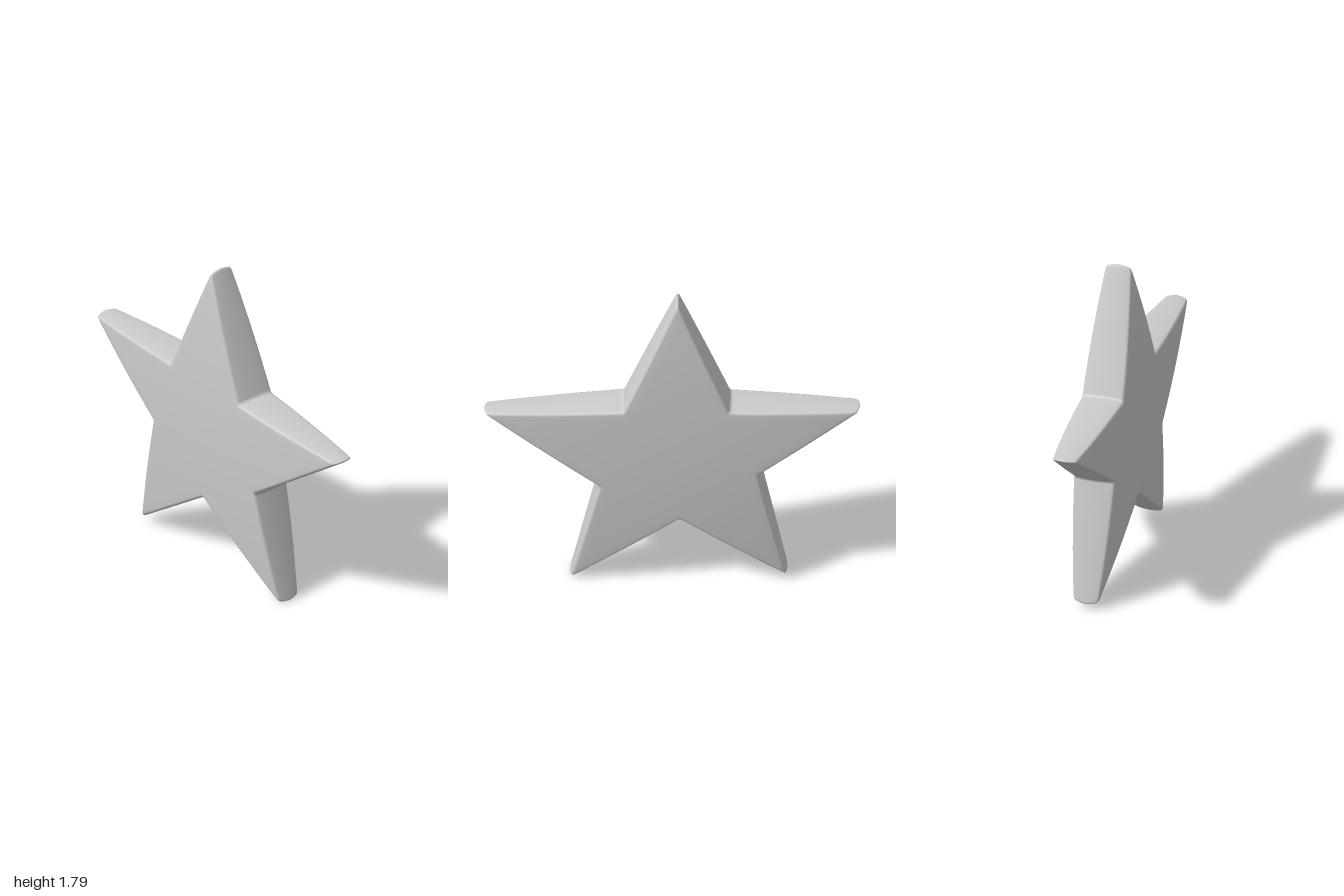
import * as THREE from 'three';
import { mergeVertices } from 'three/addons/utils/BufferGeometryUtils.js';

// Star corners, counter-clockwise from the front, alternating tip and notch
const CORNERS = [
  [-0.03, 1.795], [-0.312, 1.118], [-1.013, 1.096], [-0.465, 0.7], [-0.619, 0.015],
  [-0.042, 0.408], [0.546, -0.014], [0.391, 0.618], [1.013, 1.057], [0.26, 1.115],
].map(([x, y]) => new THREE.Vector2(x, y));
const CENTRE = new THREE.Vector2(-0.03, 0.81);
const ARC_STEPS = 6, EDGE_STEPS = 8;

// Half thickness swells from the tips to the centre
const halfDepth = (p) => 0.127 - 0.061 * p.distanceToSquared(CENTRE);

// Outline moved inwards by d, with every corner slightly rounded
function outline(d) {
  const n = CORNERS.length;
  const inward = (a, b) => new THREE.Vector2(a.y - b.y, b.x - a.x).normalize();
  const moved = CORNERS.map((p, i) => {
    const n1 = inward(CORNERS[(i + n - 1) % n], p);
    const n2 = inward(p, CORNERS[(i + 1) % n]);
    return p.clone().addScaledVector(n1.clone().add(n2), d / (1 + n1.dot(n2)));
  });
  const towards = (a, b, len) => a.clone().addScaledVector(b.clone().sub(a).normalize(), len);
  const cut = (i) => (i % 2 ? 0.015 : 0.028);
  const points = [];
  moved.forEach((p, i) => {
    const j = (i + 1) % n, next = moved[j];
    const start = towards(p, moved[(i + n - 1) % n], cut(i));
    const end = towards(p, next, cut(i));
    points.push(...new THREE.QuadraticBezierCurve(start, p, end).getPoints(ARC_STEPS));
    const stop = towards(next, p, cut(j));
    for (let k = 1; k < EDGE_STEPS; k++) points.push(end.clone().lerp(stop, k / EDGE_STEPS));
  });
  return points;
}

function starGeometry() {
  const rings = [];
  const addRing = (points, zFactor) =>
    rings.push(points.map((p) => [p.x, p.y, halfDepth(p) * zFactor]));

  // Domed face from its middle to the rim, then the softened edge down to mid depth
  const rim = outline(0.021);
  for (let k = 0; k <= 10; k++) {
    addRing(rim.map((p) => CENTRE.clone().lerp(p, k / 10)), 1);
  }
  for (const [inset, z] of [[0.013, 0.98], [0.008, 0.93], [0.005, 0.85], [0.002, 0.5], [0, 0]]) {
    addRing(outline(inset), z);
  }
  // Mirror for the back
  for (let i = rings.length - 2; i >= 0; i--) {
    rings.push(rings[i].map(([x, y, z]) => [x, y, -z]));
  }

  const count = rim.length, index = [];
  for (let i = 0; i < rings.length - 1; i++) {
    for (let j = 0; j < count; j++) {
      const k = (j + 1) % count;
      const a = i * count + j, b = i * count + k, c = a + count, d = b + count;
      if (i > 0) index.push(a, d, b);
      if (i < rings.length - 2) index.push(a, c, d);
      if (i === 0 && rings.length > 1) continue;
      if (i === rings.length - 2) continue;
    }
  }
  const geometry = new THREE.BufferGeometry();
  geometry.setAttribute('position', new THREE.Float32BufferAttribute(rings.flat(2), 3));
  geometry.setIndex(index);
  const welded = mergeVertices(geometry, 1e-5);
  welded.computeVertexNormals();
  return welded;
}

export function createModel() {
  const group = new THREE.Group();
  group.name = 'star';
  const body = new THREE.Mesh(starGeometry(), new THREE.MeshStandardMaterial({ color: 0xcccccc }));
  body.name = 'starBody';
  group.add(body);
  return group;
}
